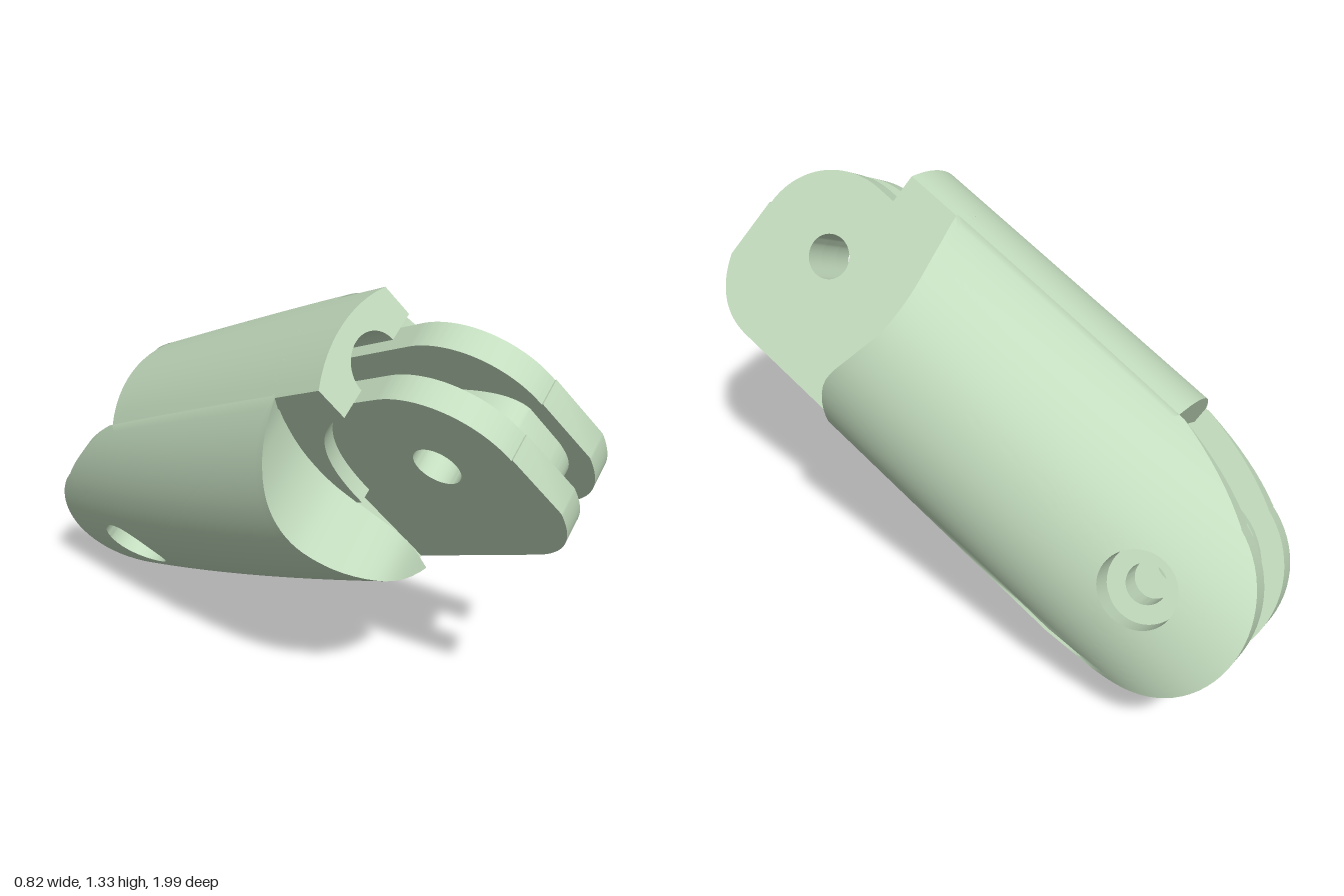
import * as THREE from 'three';
import { toCreasedNormals } from 'three/addons/utils/BufferGeometryUtils.js';

const BOTTOM = -0.385, INNER = 0.178, TOP = 0.405, BELLY = 0.43;
const FRONT = { z: 0.70, y: -0.01 };    // front hinge axis
const BACK = { z: -0.695, y: -0.055 };  // back hinge axis

// rounded, tapering outer surface: half width at a point, and height of the top
const halfWidth = (z) => 0.395 + 0.04 * z - 0.045 * z * z;
const shellX = (y, z) =>
  Math.max(INNER + 0.001, halfWidth(z) * Math.sqrt(Math.max(0, 1 - (y / (y < 0 ? BELLY : TOP)) ** 2)));
const topY = (x, z) => TOP * Math.sqrt(1 - (x / halfWidth(z)) ** 2);

export function createModel() {
  const material = new THREE.MeshStandardMaterial({ color: 0xc3dcbe, side: THREE.DoubleSide });
  material.name = 'pale green';
  const root = new THREE.Group();
  root.name = 'fingerSegment';
  const segment = new THREE.Group();
  segment.name = 'tiltedSegment';
  segment.position.y = 0.72;
  segment.rotation.set(-THREE.MathUtils.degToRad(24), 0, THREE.MathUtils.degToRad(33));
  root.add(segment);

  const add = (name, geometry) => {
    const mesh = new THREE.Mesh(toCreasedNormals(geometry, 0.6), material);
    mesh.name = name;
    segment.add(mesh);
  };
  const extrude = (shape, depth, steps = 1) =>
    new THREE.ExtrudeGeometry(shape, { depth, steps, bevelEnabled: false, curveSegments: 28 });
  // side profile drawn in (z, y), extruded from x0 to x1
  const across = (name, shape, x0, x1) =>
    add(name, extrude(shape, x1 - x0).rotateY(-Math.PI / 2).translate(x1, 0, 0));
  const hole = (shape, c, r) => {
    shape.holes.push(new THREE.Path().absarc(c.z, c.y, r, 0, Math.PI * 2, true));
    return shape;
  };

  // curved side shells, each running back into a rounded hinge lobe
  const outline = new THREE.Shape();
  outline.moveTo(-0.56, BOTTOM);
  outline.lineTo(0.36, BOTTOM);
  outline.splineThru([[0.39, -0.25], [0.345, -0.1], [0.315, 0.02], [0.325, 0.15], [0.375, 0.28], [0.43, topY(INNER, 0.43)]]
    .map((p) => new THREE.Vector2(...p)));
  for (let i = 1; i <= 6; i++) {
    const z = 0.43 - 0.15 * i;
    outline.lineTo(z, topY(INNER, z));
  }
  outline.quadraticCurveTo(-0.66, 0.32, -0.79, 0.25);
  outline.absarc(BACK.z, BACK.y, 0.318, Math.atan2(0.30, -0.09), Math.PI * 1.46, false);
  outline.lineTo(-0.56, BOTTOM);
  const rim = outline.curves.flatMap((c) =>
    c.getPoints(c.isSplineCurve || c.isEllipseCurve ? 32 : 8).slice(0, -1));

  function sideShell(s) {
    const rings = 24, boreRadius = 0.115, n = rim.length;
    const levels = [[0, false], [1, false]];
    for (let i = rings; i >= 0; i--) levels.push([i / rings, true]);
    const pos = [], index = [];
    for (const [t, outer] of levels) {
      for (const p of rim) {
        const dz = p.x - BACK.z, dy = p.y - BACK.y, d = Math.hypot(dz, dy);
        const k = (boreRadius + (d - boreRadius) * t) / d;
        const z = BACK.z + dz * k, y = BACK.y + dy * k;
        pos.push(s * (outer ? shellX(y, z) : INNER), y, z);
      }
    }
    for (let k = 0; k < levels.length; k++) {
      for (let j = 0; j < n; j++) {
        const k2 = (k + 1) % levels.length, j2 = (j + 1) % n;
        const a = k * n + j, b = k2 * n + j, c = k * n + j2, d = k2 * n + j2;
        if (s > 0) index.push(a, b, c, b, d, c);
        else index.push(a, c, b, b, c, d);
      }
    }
    const g = new THREE.BufferGeometry();
    g.setAttribute('position', new THREE.Float32BufferAttribute(pos, 3));
    g.setIndex(index);
    return g;
  }

  // raised, bored disc on the inside of each back lobe
  const disc = hole(new THREE.Shape().absarc(BACK.z, BACK.y, 0.25, 0, Math.PI * 2, false), BACK, 0.06);

  // shoulder stepping around the front hinge, running up into the tab
  const shoulder = new THREE.Shape();
  shoulder.moveTo(0.25, -0.08);
  shoulder.lineTo(0.36, -0.08);
  shoulder.quadraticCurveTo(0.36, 0.2, 0.61, 0.26);
  shoulder.lineTo(0.61, 0.345);
  shoulder.lineTo(0.25, 0.345);

  // front tongue cheek
  const cheek = new THREE.Shape();
  cheek.moveTo(0.2, BOTTOM);
  cheek.lineTo(0.77, BOTTOM);
  cheek.quadraticCurveTo(0.92, BOTTOM, 0.975, -0.22);
  cheek.lineTo(0.97, FRONT.y);
  cheek.absarc(FRONT.z, FRONT.y, 0.265, 0, Math.PI / 2, false);
  cheek.lineTo(0.2, 0.255);
  hole(cheek, FRONT, 0.07);

  for (const s of [1, -1]) {
    const side = s > 0 ? 'left' : 'right';
    const pair = (name, shape, a, b) =>
      across(side + name, shape, s > 0 ? a : -b, s > 0 ? b : -a);
    add(side + 'Shell', sideShell(s));
    pair('LobeDisc', disc, 0.135, 0.235);
    pair('Shoulder', shoulder, 0.132, 0.18);
    pair('TongueCheek', cheek, 0.05, 0.134);
  }

  // low web filling the groove between the cheeks
  const web = new THREE.Shape();
  web.moveTo(0.2, BOTTOM);
  web.lineTo(0.45, BOTTOM);
  web.lineTo(0.47, -0.29);
  web.lineTo(0.80, -0.29);
  web.quadraticCurveTo(0.91, -0.27, 0.92, -0.15);
  web.lineTo(0.92, -0.02);
  web.quadraticCurveTo(0.90, 0.06, 0.70, 0.09);
  web.lineTo(0.2, 0.09);
  across('tongueWeb', hole(web, FRONT, 0.07), -0.051, 0.051);

  // central block with a rounded lower back edge
  const core = new THREE.Shape();
  core.moveTo(0.31, BOTTOM);
  core.lineTo(-0.27, BOTTOM);
  core.quadraticCurveTo(-0.375, BOTTOM, -0.38, -0.235);
  core.lineTo(-0.28, -0.235);
  core.lineTo(-0.28, 0.32);
  core.lineTo(0.31, 0.32);
  across('coreBlock', core, -INNER, INNER);

  // back wall with a tendon hole, stopping short of the roof
  const wall = new THREE.Shape();
  wall.moveTo(-INNER, -0.235);
  wall.lineTo(INNER, -0.235);
  wall.lineTo(INNER, 0.1);
  wall.lineTo(-INNER, 0.1);
  hole(wall, { z: 0, y: -0.08 }, 0.045);
  add('backWall', extrude(wall, 0.1).translate(0, 0, -0.38));

  // arched strip whose top follows the shell, optionally with a channel underneath
  function arch(name, half, low, channel, z0, z1) {
    const shape = new THREE.Shape();
    shape.moveTo(-half, low);
    if (channel) {
      shape.lineTo(-channel, low);
      shape.absarc(0, low, channel, Math.PI, 0, true);
    }
    shape.lineTo(half, low);
    for (let i = 0; i <= 12; i++) {
      const x = half * (1 - i / 6);
      shape.lineTo(x, topY(x, 0));
    }
    const g = extrude(shape, z1 - z0, 12).translate(0, 0, z0);
    const p = g.attributes.position;
    for (let i = 0; i < p.count; i++) {
      if (p.getY(i) > 0.348) p.setY(i, topY(p.getX(i), p.getZ(i)));
    }
    add(name, g);
  }
  arch('roof', INNER + 0.001, 0.30, 0, -0.45, 0.42);
  arch('frontTab', 0.185, 0.255, 0.09, 0.40, 0.615);

  return root;
}
